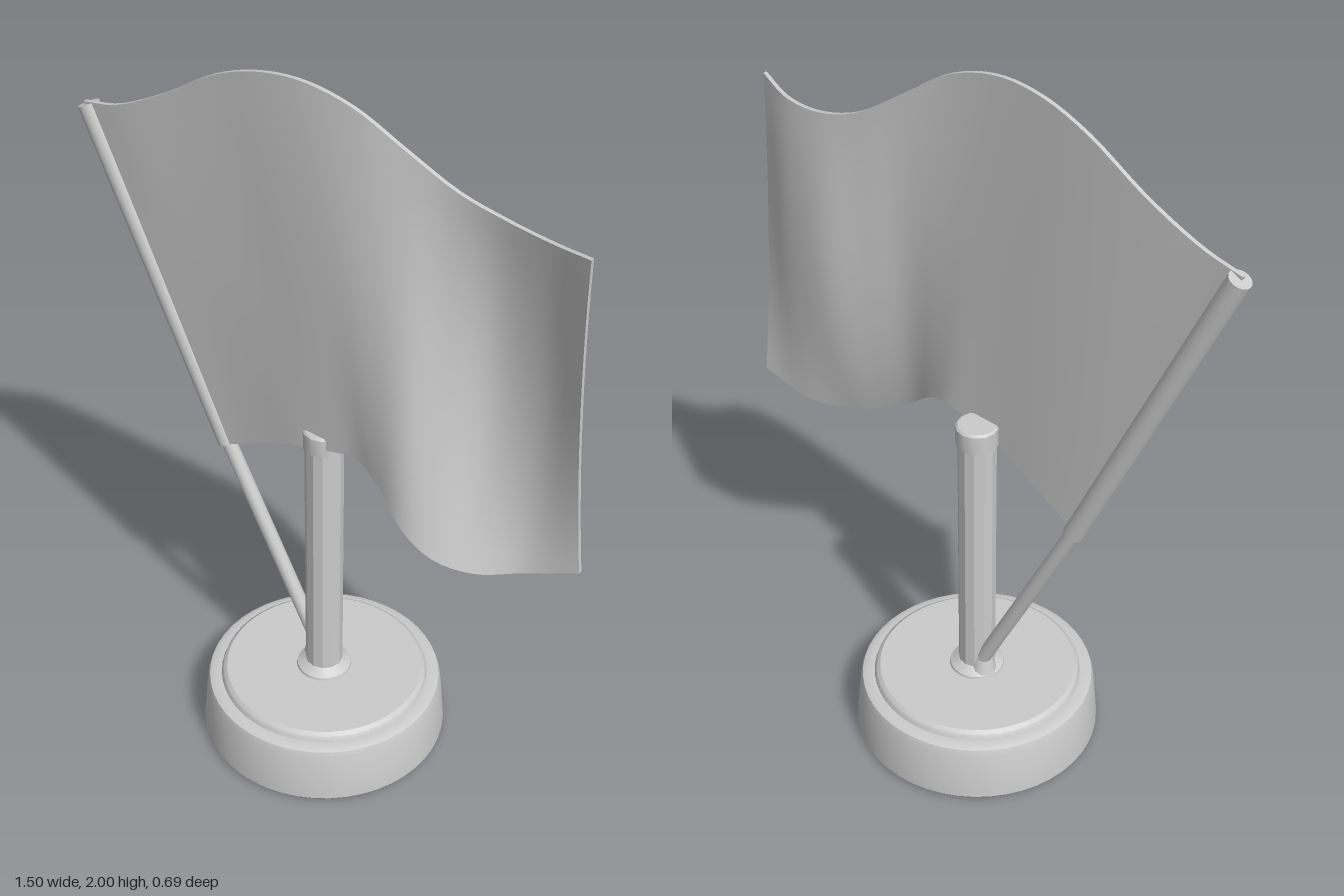
import * as THREE from 'three';
import { toCreasedNormals } from 'three/addons/utils/BufferGeometryUtils.js';

const material = new THREE.MeshStandardMaterial({ color: 0xcccccc });
const V = (x, y, z) => new THREE.Vector3(x, y, z);

function add(group, name, geometry) {
  const mesh = new THREE.Mesh(geometry, material);
  mesh.name = name;
  group.add(mesh);
  return mesh;
}

// Turned part from [radius, height] pairs
function turned(profile, sides) {
  const g = new THREE.LatheGeometry(profile.map(([r, y]) => new THREE.Vector2(r, y)), sides);
  return toCreasedNormals(g, 0.6);
}

// Straight rod between two points
function rod(group, name, a, b, radius, sides) {
  const dir = b.clone().sub(a);
  const mesh = add(group, name, new THREE.CylinderGeometry(radius, radius, dir.length(), sides));
  mesh.position.copy(a).add(b).multiplyScalar(0.5);
  mesh.quaternion.setFromUnitVectors(V(0, 1, 0), dir.normalize());
  return mesh;
}

// Waving cloth: a thin box swept between its top, middle and bottom edge curves
function clothGeometry() {
  const top = new THREE.CatmullRomCurve3([
    V(-0.735, 1.745, 0.0), V(-0.62, 1.77, 0.01), V(-0.47, 1.84, 0.012), V(-0.3, 1.94, 0.018),
    V(-0.16, 1.988, 0.027), V(-0.03, 1.998, 0.03), V(0.1, 1.965, 0.022), V(0.22, 1.89, 0.0),
    V(0.35, 1.81, -0.025), V(0.47, 1.777, -0.03), V(0.6, 1.77, -0.01), V(0.718, 1.788, 0.032),
  ]);
  const middle = new THREE.CatmullRomCurve3([
    V(-0.54, 1.3, 0.0), V(-0.43, 1.33, 0.005), V(-0.31, 1.38, 0.012), V(-0.18, 1.44, 0.022),
    V(-0.06, 1.49, 0.034), V(0.05, 1.51, 0.042), V(0.15, 1.48, 0.045), V(0.26, 1.42, 0.038),
    V(0.36, 1.34, 0.002), V(0.47, 1.3, -0.042), V(0.6, 1.31, -0.035), V(0.722, 1.34, 0.012),
  ]);
  const bottom = new THREE.CatmullRomCurve3([
    V(-0.33, 0.835, 0.0), V(-0.25, 0.875, 0.005), V(-0.16, 0.92, 0.015), V(-0.06, 0.965, 0.03),
    V(0.04, 0.995, 0.038), V(0.13, 1.013, 0.045), V(0.21, 0.985, 0.07), V(0.31, 0.905, 0.106),
    V(0.4, 0.85, 0.103), V(0.5, 0.825, 0.065), V(0.61, 0.842, 0.01), V(0.75, 0.895, -0.01),
  ]);
  const g = new THREE.BoxGeometry(1, 1, 1, 48, 20, 1);
  const pos = g.attributes.position;
  for (let i = 0; i < pos.count; i++) {
    const u = pos.getX(i) + 0.5, v = 0.5 - pos.getY(i);
    // quadratic blend passing through all three curves
    const p = top.getPoint(u).multiplyScalar((1 - v) * (1 - 2 * v))
      .addScaledVector(middle.getPoint(u), 4 * v * (1 - v))
      .addScaledVector(bottom.getPoint(u), v * (2 * v - 1));
    pos.setXYZ(i, p.x, p.y, p.z + pos.getZ(i) * 0.012);
  }
  g.computeVertexNormals();
  return g;
}

export function createModel() {
  const model = new THREE.Group();
  model.name = 'deskFlag';

  // Round stepped base
  add(model, 'base', turned([
    [0, 0], [0.335, 0], [0.345, 0.012], [0.344, 0.03], [0.332, 0.155], [0.326, 0.172],
    [0.312, 0.178], [0.292, 0.178], [0.287, 0.192], [0.276, 0.2], [0, 0.2],
  ], 48));

  // Upright post with collar and cap
  add(model, 'postCollar', turned([
    [0.078, 0.198], [0.076, 0.207], [0.062, 0.215], [0.05, 0.225],
  ], 24));
  add(model, 'post', toCreasedNormals(new THREE.CylinderGeometry(0.052, 0.052, 0.78, 12), 0.4))
    .position.y = 0.59;
  add(model, 'postCap', turned([
    [0.05, 0.965], [0.058, 0.97], [0.058, 1.022], [0.052, 1.028], [0, 1.028],
  ], 12));

  // Slanted staff, its foot and the sleeve holding the cloth
  rod(model, 'staff', V(-0.03, 0.235, -0.02), V(-0.34, 0.87, -0.012), 0.021, 12);
  const foot = add(model, 'staffFoot', new THREE.CylinderGeometry(0.022, 0.04, 0.07, 12));
  foot.position.set(-0.035, 0.235, -0.015);
  rod(model, 'sleeve', V(-0.325, 0.838, -0.012), V(-0.728, 1.738, -0.005), 0.029, 16);

  add(model, 'cloth', clothGeometry());
  return model;
}
